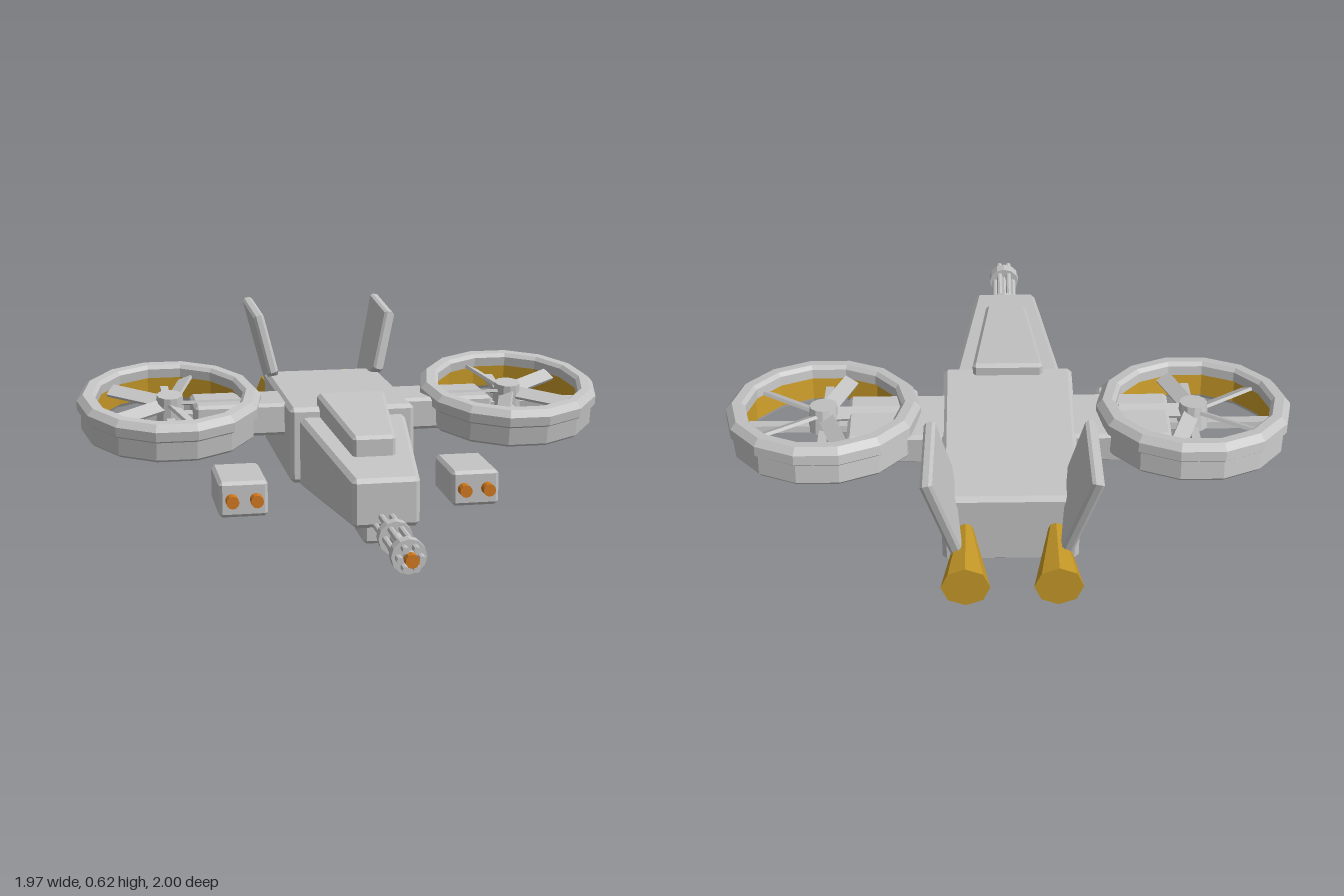
import * as THREE from 'three';
import { ConvexGeometry } from 'three/addons/geometries/ConvexGeometry.js';

const material = (name, color) => new THREE.MeshStandardMaterial({ name, color, flatShading: true });

export function createModel() {
  const grey = material('hull grey', 0xc4c4c4);
  const gold = material('brass gold', 0xc89a28);
  const orange = material('burnt orange', 0xd07820);
  const root = new THREE.Group();
  root.name = 'gunship';

  function add(parent, name, geometry, mat, x = 0, y = 0, z = 0) {
    const mesh = new THREE.Mesh(geometry, mat);
    mesh.name = name;
    mesh.position.set(x, y, z);
    parent.add(mesh);
    return mesh;
  }

  // Bevelled block between two rectangles, each [z, x0, x1, y0, y1]
  function block(front, back, bevel = 0.012) {
    const points = [];
    [[front, -1], [back, 1]].forEach(([[z, x0, x1, y0, y1], inZ]) => {
      for (const [x, inX] of [[x0, 1], [x1, -1]]) {
        for (const [y, inY] of [[y0, 1], [y1, -1]]) {
          const a = inX * bevel, b = inY * bevel, c = inZ * bevel;
          points.push(
            new THREE.Vector3(x, y + b, z + c),
            new THREE.Vector3(x + a, y, z + c),
            new THREE.Vector3(x + a, y + b, z));
        }
      }
    });
    return new ConvexGeometry(points);
  }
  const box = (x0, x1, y0, y1, z0, z1, bevel) =>
    block([z1, x0, x1, y0, y1], [z0, x0, x1, y0, y1], bevel);

  // Cylinder lying along z, wide end rFront towards +z
  const rod = (rFront, rBack, length, sides) =>
    new THREE.CylinderGeometry(rFront, rBack, length, sides).rotateX(Math.PI / 2);

  // Fuselage
  add(root, 'rearBody', box(-0.23, 0.23, 0.08, 0.36, -0.73, -0.02, 0.015), grey);
  add(root, 'nose', block([0.6, -0.115, 0.115, 0.08, 0.25], [-0.04, -0.195, 0.195, 0.065, 0.325], 0.015), grey);
  add(root, 'canopy', block([0.39, -0.075, 0.075, 0.24, 0.345], [-0.07, -0.125, 0.125, 0.3, 0.405]), grey);

  // Nose gun
  add(root, 'gunMount', box(-0.075, 0.075, 0.02, 0.09, 0.41, 0.58), grey);
  const gun = new THREE.Group();
  gun.name = 'noseGun';
  gun.position.y = 0.088;
  root.add(gun);
  for (let i = 0; i < 6; i++) {
    const a = i * Math.PI / 3;
    add(gun, 'barrel', rod(0.011, 0.011, 0.4, 8), grey, 0.036 * Math.cos(a), 0.036 * Math.sin(a), 0.785);
  }
  for (const z of [0.73, 0.93]) add(gun, 'barrelClamp', rod(0.058, 0.058, 0.038, 12), grey, 0, 0, z);
  add(gun, 'gunCore', rod(0.022, 0.022, 0.39, 10), grey, 0, 0, 0.78);
  add(gun, 'gunTip', rod(0.023, 0.023, 0.03, 10), orange, 0, 0, 0.985);

  const SIDES = 14;
  const lathe = (profile) => new THREE.LatheGeometry(
    profile.map(([r, y]) => new THREE.Vector2(r, y)), SIDES, Math.PI / 2);

  for (const side of [1, -1]) {
    const prefix = side > 0 ? 'left' : 'right';
    const half = new THREE.Group();
    half.name = prefix + 'Side';
    root.add(half);
    const span = (a, b) => side > 0 ? [a, b] : [-b, -a];

    // Wing stub
    add(half, prefix + 'Wing', box(...span(0.2, 0.56), 0.23, 0.35, -0.4, -0.16), grey);

    // Ducted rotor, tipped forward
    const rotor = new THREE.Group();
    rotor.name = prefix + 'Rotor';
    rotor.position.set(side * 0.645, 0.32, -0.265);
    rotor.rotation.x = 0.175;
    half.add(rotor);
    add(rotor, 'ductShell', lathe([
      [0.278, -0.06], [0.285, -0.073], [0.315, -0.073], [0.326, -0.062], [0.326, 0.005],
      [0.34, 0.015], [0.34, 0.05], [0.318, 0.073], [0.285, 0.073], [0.272, 0.06], [0.272, 0.025], [0.28, 0.025],
    ]), grey);
    add(rotor, 'ductLining', lathe([[0.28, 0.025], [0.278, -0.06]]), gold);
    add(rotor, 'hub', new THREE.CylinderGeometry(0.048, 0.056, 0.09, 12), grey, 0, 0.015, 0);
    add(rotor, 'crossStrut', new THREE.BoxGeometry(0.55, 0.025, 0.04), grey, 0, -0.025, 0);
    add(rotor, 'longStrut', new THREE.BoxGeometry(0.03, 0.025, 0.55), grey, 0, -0.025, 0);
    for (let i = 0; i < 5; i++) {
      const angle = (side > 0 ? Math.PI : 0) + side * -1 * i * Math.PI * 2 / 5;
      const blade = new THREE.BoxGeometry(0.22, 0.012, 0.055)
        .rotateX(side * 0.45).translate(0.15, 0.025, 0).rotateY(angle);
      add(rotor, 'blade', blade, grey);
    }

    // Rocket pod
    add(half, prefix + 'RocketPod', box(...span(0.335, 0.51), 0.01, 0.14, -0.13, 0.145), grey);
    for (const x of [0.378, 0.465])
      add(half, prefix + 'RocketTip', rod(0.023, 0.023, 0.06, 12), orange, side * x, 0.075, 0.155);

    // Tail fin, leaning outward
    const fin = new THREE.Group();
    fin.name = prefix + 'TailFin';
    fin.position.set(side * 0.205, 0.36, 0);
    fin.rotation.z = -side * 0.235;
    half.add(fin);
    const outline = [[-0.595, 0.02], [-0.625, 0.25], [-0.965, 0.272], [-0.868, -0.13]];
    const finPoints = [];
    for (const [z, y] of outline) {
      const innerZ = z + (-0.765 - z) * 0.05, innerY = y + (0.1 - y) * 0.05;
      for (const s of [-1, 1])
        finPoints.push(new THREE.Vector3(s * 0.01, y, z), new THREE.Vector3(s * 0.02, innerY, innerZ));
    }
    add(fin, 'finPanel', new ConvexGeometry(finPoints), grey);

    // Exhaust cone
    add(half, prefix + 'Exhaust', rod(0.024, 0.08, 0.28, 8), gold, side * 0.15, 0.226, -0.86);
  }
  return root;
}
